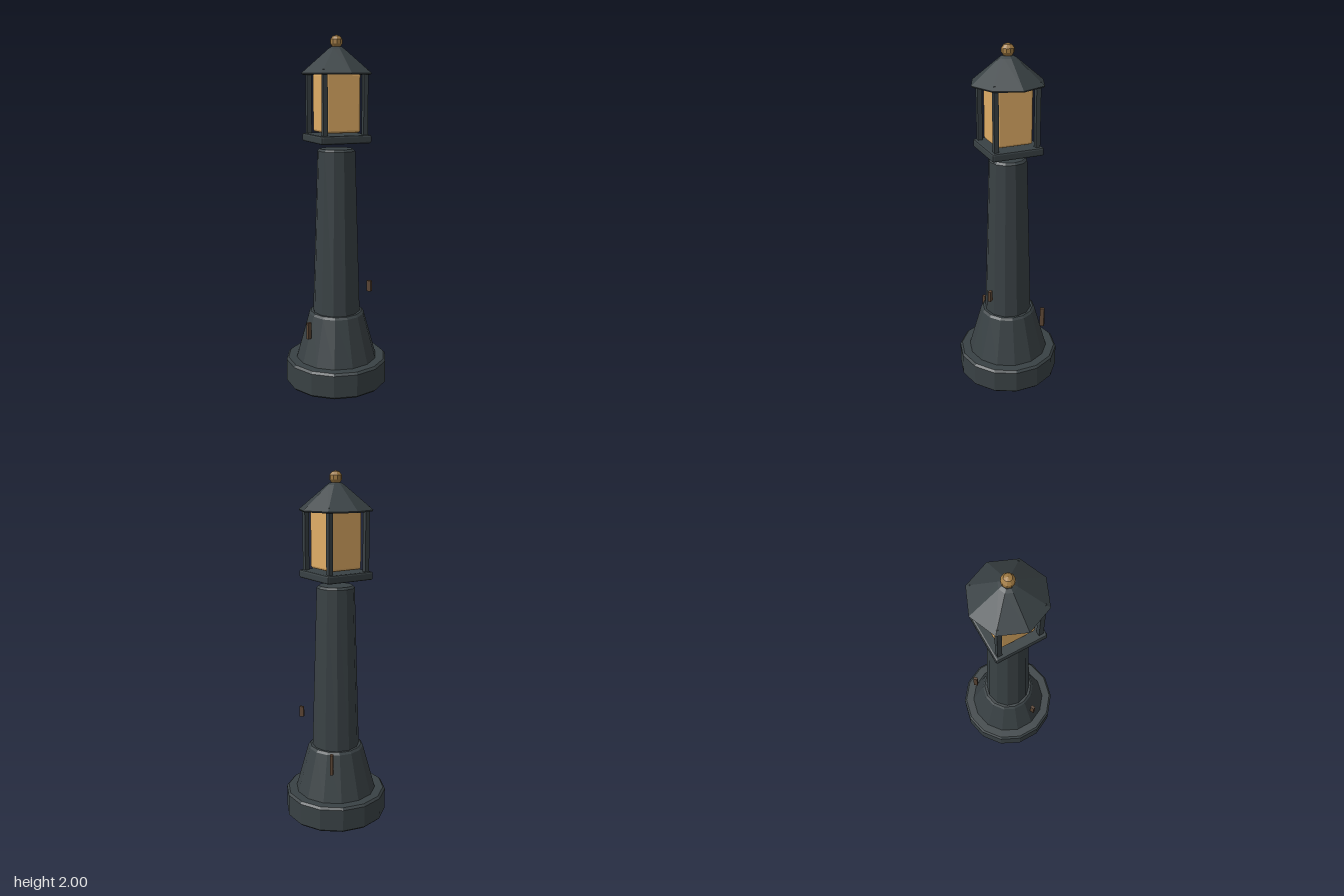
import * as THREE from 'three';
import { RoundedBoxGeometry } from 'three/addons/geometries/RoundedBoxGeometry.js';

const paint = (color) => new THREE.MeshStandardMaterial({ color, flatShading: true });

export function createModel() {
  const model = new THREE.Group();
  const iron = paint(0x394144);
  const glass = paint(0xe0ad66);
  const brass = paint(0xa07a42);
  const wood = paint(0x5a4433);

  const add = (name, geometry, material, x = 0, y = 0, z = 0) => {
    const mesh = new THREE.Mesh(geometry, material);
    mesh.name = name;
    mesh.position.set(x, y, z);
    model.add(mesh);
    return mesh;
  };

  // Faceted frustum with small chamfers, closed at both ends
  const frustum = (r0, r1, y0, y1, sides, c) => new THREE.LatheGeometry([
    [0, y0], [r0 - c, y0], [r0, y0 + c], [r1, y1 - c], [r1 - c, y1], [0, y1],
  ].map(([r, y]) => new THREE.Vector2(r, y)), sides);

  // Foot, plinth and tapering column
  add('foot', frustum(0.297, 0.297, 0.005, 0.157, 14, 0.012), iron);
  add('plinth', frustum(0.236, 0.162, 0.145, 0.435, 14, 0.012), iron);
  add('column', frustum(0.137, 0.107, 0.42, 1.382, 12, 0.012), iron);

  // Lantern: platform, glass and four corner posts
  add('platform', new RoundedBoxGeometry(0.298, 0.046, 0.298, 1, 0.01), iron, 0, 1.441, 0);
  add('lanternGlass', new RoundedBoxGeometry(0.206, 0.325, 0.206, 1, 0.014), glass, 0, 1.636, 0);
  for (const x of [-1, 1]) {
    for (const z of [-1, 1]) {
      add('cornerPost', new THREE.BoxGeometry(0.026, 0.36, 0.026), iron, x * 0.119, 1.635, z * 0.119);
    }
  }

  // Eight-sided roof and finial
  add('roof', new THREE.LatheGeometry([
    [0, 1.788], [0.2, 1.788], [0.206, 1.796], [0.048, 1.926], [0.03, 1.938], [0, 1.938],
  ].map(([r, y]) => new THREE.Vector2(r, y)), 8), iron);
  add('finial', new THREE.SphereGeometry(0.036, 10, 5), brass, 0, 1.965, 0);

  // Small upright pegs around the plinth, each turned to face the axis
  for (const [x, y, z, h] of [
    [0.133, 0.61, 0.165, 0.062],
    [0.139, 0.39, -0.165, 0.12],
    [-0.201, 0.357, 0.073, 0.096],
  ]) {
    const peg = add('peg', new THREE.BoxGeometry(0.017, h, 0.025), wood, x, y, z);
    peg.rotation.y = Math.atan2(x, z);
  }

  return model;
}
